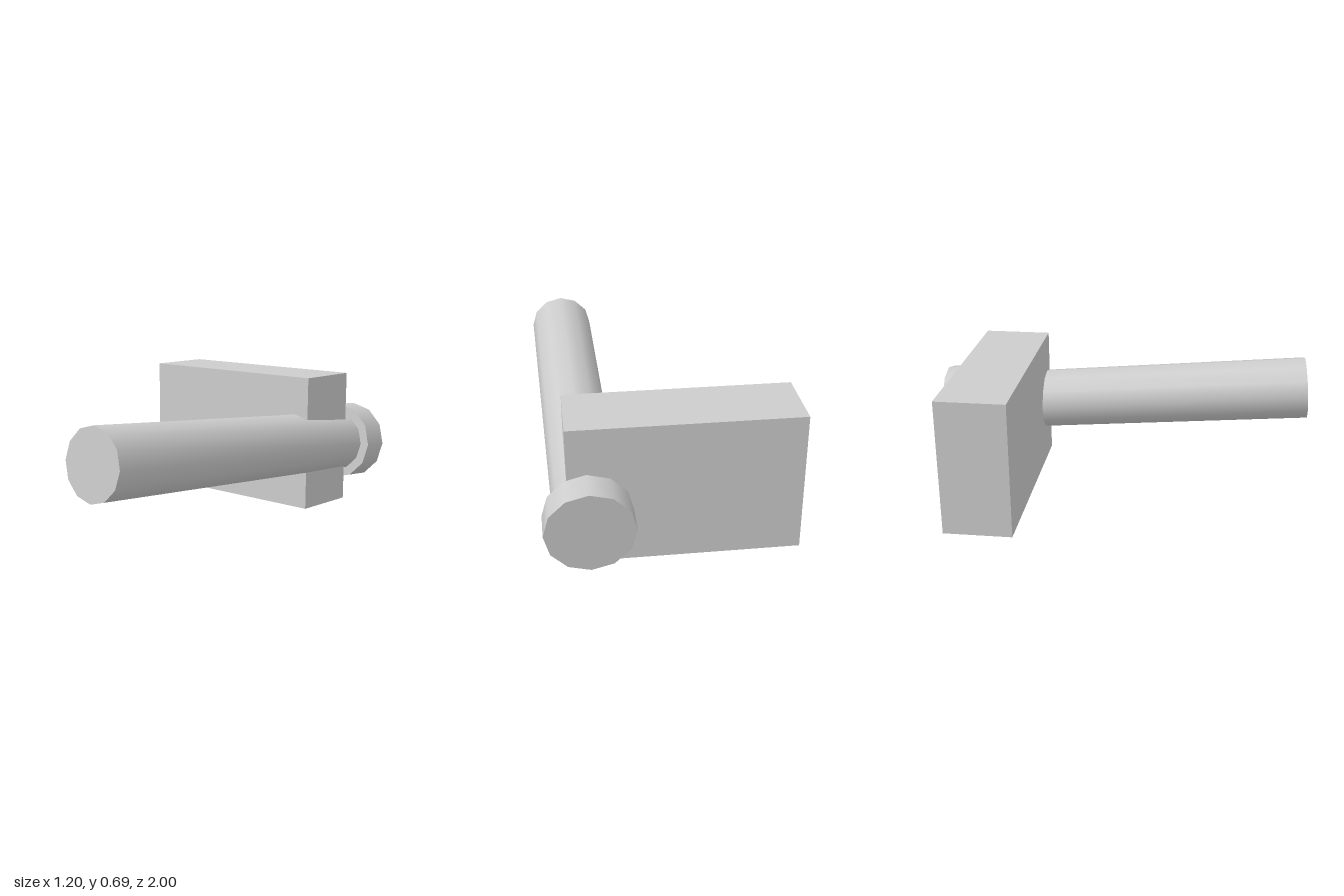
import * as THREE from 'three';

export function createModel() {
  const model = new THREE.Group();
  const grey = new THREE.MeshStandardMaterial({ color: 0xcccccc });
  grey.name = 'grey';

  const add = (name, geometry) => {
    const mesh = new THREE.Mesh(geometry, grey);
    mesh.name = name;
    model.add(mesh);
    return mesh;
  };

  // Twelve-sided rod between two points, radii given at each end
  const rod = (name, from, to, rFrom, rTo) => {
    const axis = to.clone().sub(from);
    const geometry = new THREE.CylinderGeometry(rTo, rFrom, axis.length(), 12);
    geometry.rotateX(Math.PI / 2);
    const mesh = add(name, geometry);
    mesh.position.copy(from).add(to).multiplyScalar(0.5);
    mesh.quaternion.setFromUnitVectors(new THREE.Vector3(0, 0, 1), axis.normalize());
    return mesh;
  };

  // Upright rectangular block
  add('block', new THREE.BoxGeometry(1.08, 0.69, 0.345)).position.set(-0.06, 0.345, -0.6125);

  // Slightly tilted, tapered shaft running through the block's edge
  const front = new THREE.Vector3(0.432, 0.446, 0.987);
  const neck = new THREE.Vector3(0.391, 0.302, -0.837);
  const back = new THREE.Vector3(0.39, 0.291, -0.983);
  rod('shaft', neck, front, 0.158, 0.167);

  // Wider cap on the rear end
  rod('cap', back, neck, 0.205, 0.205);

  return model;
}
